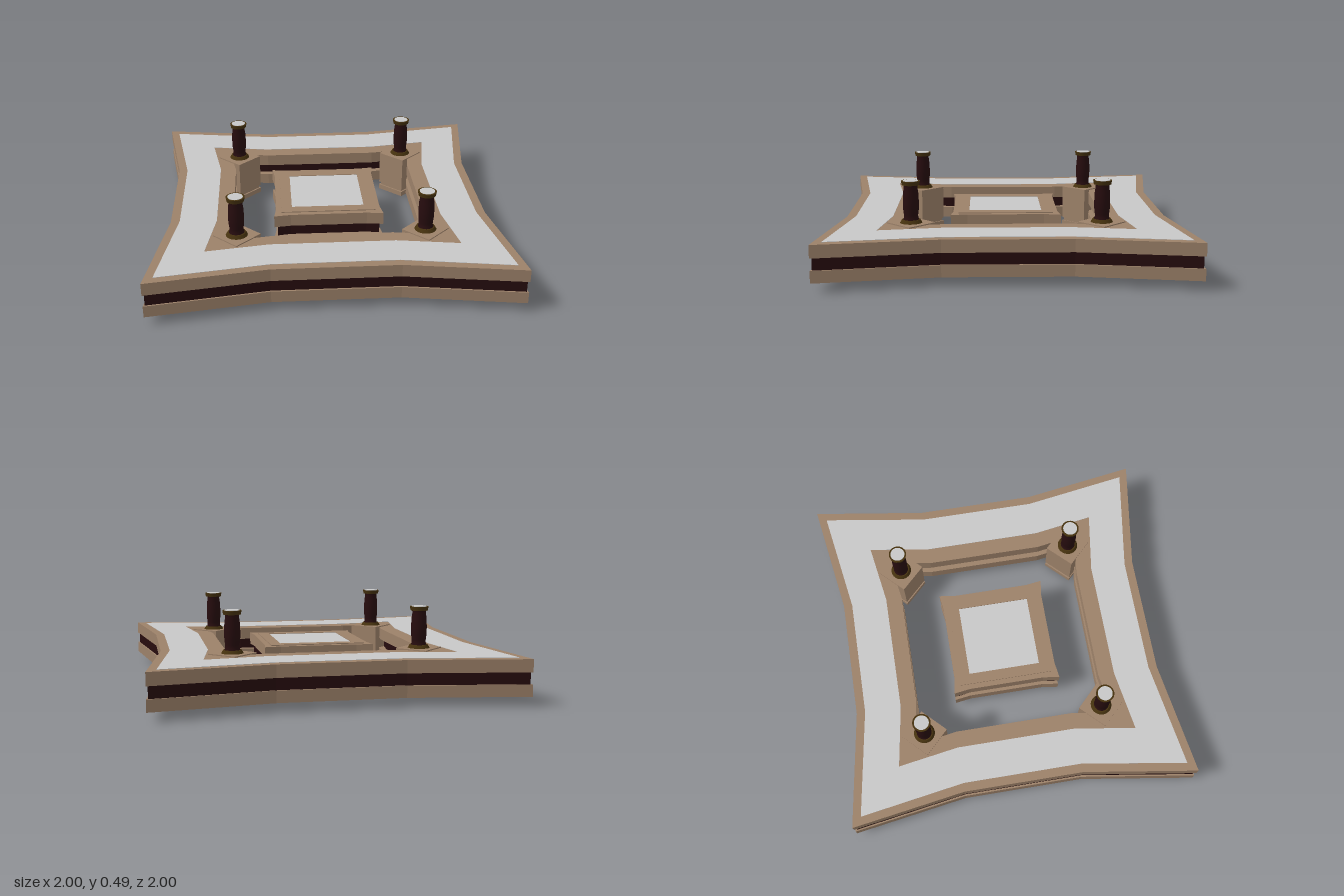
import * as THREE from 'three';

const mat = (name, color) => Object.assign(new THREE.MeshStandardMaterial({ color }), { name });

export function createModel() {
  const stone = mat('tan stone', 0x9c8169);
  const panel = mat('pale panel', 0xc8c8c8);
  const dark = mat('dark maroon', 0x260c0e);
  const bronze = mat('dark bronze', 0x46320f);
  const model = new THREE.Group();

  // Square outline with drawn-out corners: corner reach, side distance, half length of the straight side
  const outline = (corner, side, half) => {
    const pts = [];
    for (let i = 0; i < 4; i++) {
      for (const [x, y] of [[-half, -side], [half, -side], [corner, -corner]]) {
        pts.push(new THREE.Vector2(x, y).rotateAround(new THREE.Vector2(), i * Math.PI / 2));
      }
    }
    return pts;
  };

  const add = (parent, name, geometry, material, y = 0) => {
    const mesh = new THREE.Mesh(geometry, material);
    mesh.name = name;
    mesh.position.y = y;
    parent.add(mesh);
    return mesh;
  };

  // Flat slab between two heights, with an optional opening
  const slab = (parent, name, material, y0, y1, outer, hole) => {
    const shape = new THREE.Shape(outline(...outer));
    if (hole) shape.holes.push(new THREE.Path(outline(...hole).reverse()));
    const g = new THREE.ExtrudeGeometry(shape, { depth: y1 - y0, bevelEnabled: false });
    g.rotateX(-Math.PI / 2);
    return add(parent, name, g, material, y0);
  };

  // Outer ring: two stone slabs around a recessed dark core
  const ring = new THREE.Group();
  ring.name = 'outerRing';
  model.add(ring);
  const opening = [0.585, 0.545, 0.34];
  slab(ring, 'ringLowerSlab', stone, 0.05, 0.115, [1, 0.9, 0.345], opening);
  slab(ring, 'ringCore', dark, 0.115, 0.18, [0.99, 0.89, 0.345], [0.625, 0.585, 0.34]);
  slab(ring, 'ringUpperSlab', stone, 0.18, 0.25, [1, 0.9, 0.345], opening);
  slab(ring, 'ringPanel', panel, 0.249, 0.252, [0.945, 0.85, 0.34], [0.695, 0.64, 0.345]);

  // Floating centre block in the same layers
  const centre = new THREE.Group();
  centre.name = 'centreBlock';
  model.add(centre);
  slab(centre, 'centreLowerSlab', stone, 0.05, 0.115, [0.315, 0.302, 0.22]);
  slab(centre, 'centreCore', dark, 0.115, 0.18, [0.295, 0.282, 0.22]);
  slab(centre, 'centreUpperSlab', stone, 0.18, 0.25, [0.315, 0.302, 0.22]);
  slab(centre, 'centreRim', stone, 0.249, 0.255, [0.272, 0.272, 0.2], [0.21, 0.21, 0.1]);
  slab(centre, 'centrePanel', panel, 0.249, 0.252, [0.21, 0.21, 0.1]);

  // Column profiles, revolved
  const lathe = (pts) => new THREE.LatheGeometry(pts.map(([r, y]) => new THREE.Vector2(r, y)), 24);
  const shaft = lathe([[0.045, 0.27], [0.039, 0.285], [0.039, 0.30], [0.043, 0.33], [0.044, 0.37],
    [0.042, 0.42], [0.037, 0.455], [0.04, 0.468]]);
  const base = new THREE.CylinderGeometry(0.05, 0.061, 0.018, 24);
  const cap = new THREE.CylinderGeometry(0.052, 0.048, 0.022, 24);
  const disc = new THREE.CylinderGeometry(0.042, 0.042, 0.004, 24);

  // Corner posts, turned 45 degrees, each with a stepped foot and a column
  for (const sx of [-1, 1]) for (const sz of [-1, 1]) {
    const corner = new THREE.Group();
    corner.name = 'cornerPost';
    corner.position.set(sx * 0.524, 0, sz * 0.524);
    model.add(corner);
    const block = (name, width, y0, y1) => {
      const box = new THREE.BoxGeometry(width, y1 - y0, width);
      add(corner, name, box.rotateY(Math.PI / 4), stone, (y0 + y1) / 2);
    };
    block('foot', 0.186, 0, 0.03);
    block('footNeck', 0.168, 0.03, 0.05);
    block('postBlock', 0.184, 0.049, 0.249);
    block('postPlate', 0.186, 0.249, 0.256);
    add(corner, 'columnBase', base, bronze, 0.265);
    add(corner, 'columnShaft', shaft, dark);
    add(corner, 'columnCap', cap, bronze, 0.477);
    add(corner, 'columnTop', disc, panel, 0.488);
  }
  return model;
}
